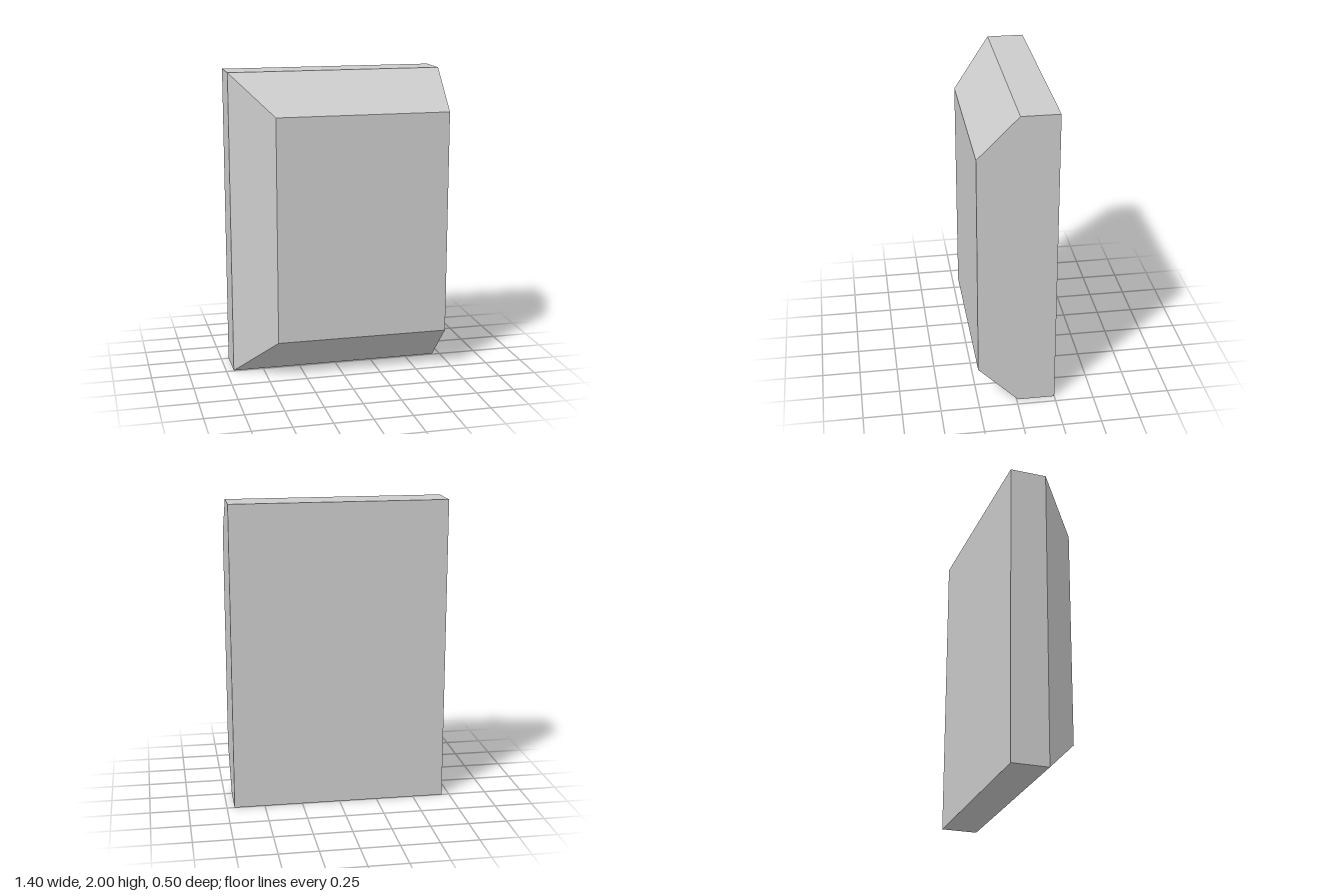
import * as THREE from 'three';

const W = 1.4, H = 2, D = 0.5, BEVEL = 0.26;

// Slab whose front edge is chamfered at the top, bottom and -x side; the +x end is cut flat.
function bevelledSlab() {
  const box = new THREE.BoxGeometry(W, H, D, 1, 1, 2);
  const p = box.attributes.position;
  for (let i = 0; i < p.count; i++) {
    const z = p.getZ(i);
    if (Math.abs(z) < 0.01) {
      p.setZ(i, D / 2 - BEVEL); // ring where the chamfer starts
    } else if (z > 0) {
      // front ring: pulled in on three sides
      p.setY(i, Math.sign(p.getY(i)) * (H / 2 - BEVEL));
      if (p.getX(i) < 0) p.setX(i, -W / 2 + BEVEL);
    }
  }
  const geometry = box.toNonIndexed();
  geometry.computeVertexNormals();
  return geometry;
}

export function createModel() {
  const group = new THREE.Group();
  group.name = 'bevelledPanel';
  const material = new THREE.MeshStandardMaterial({ color: 0xcccccc, flatShading: true });
  const panel = new THREE.Mesh(bevelledSlab(), material);
  panel.name = 'panel';
  panel.position.y = H / 2;
  group.add(panel);
  return group;
}
